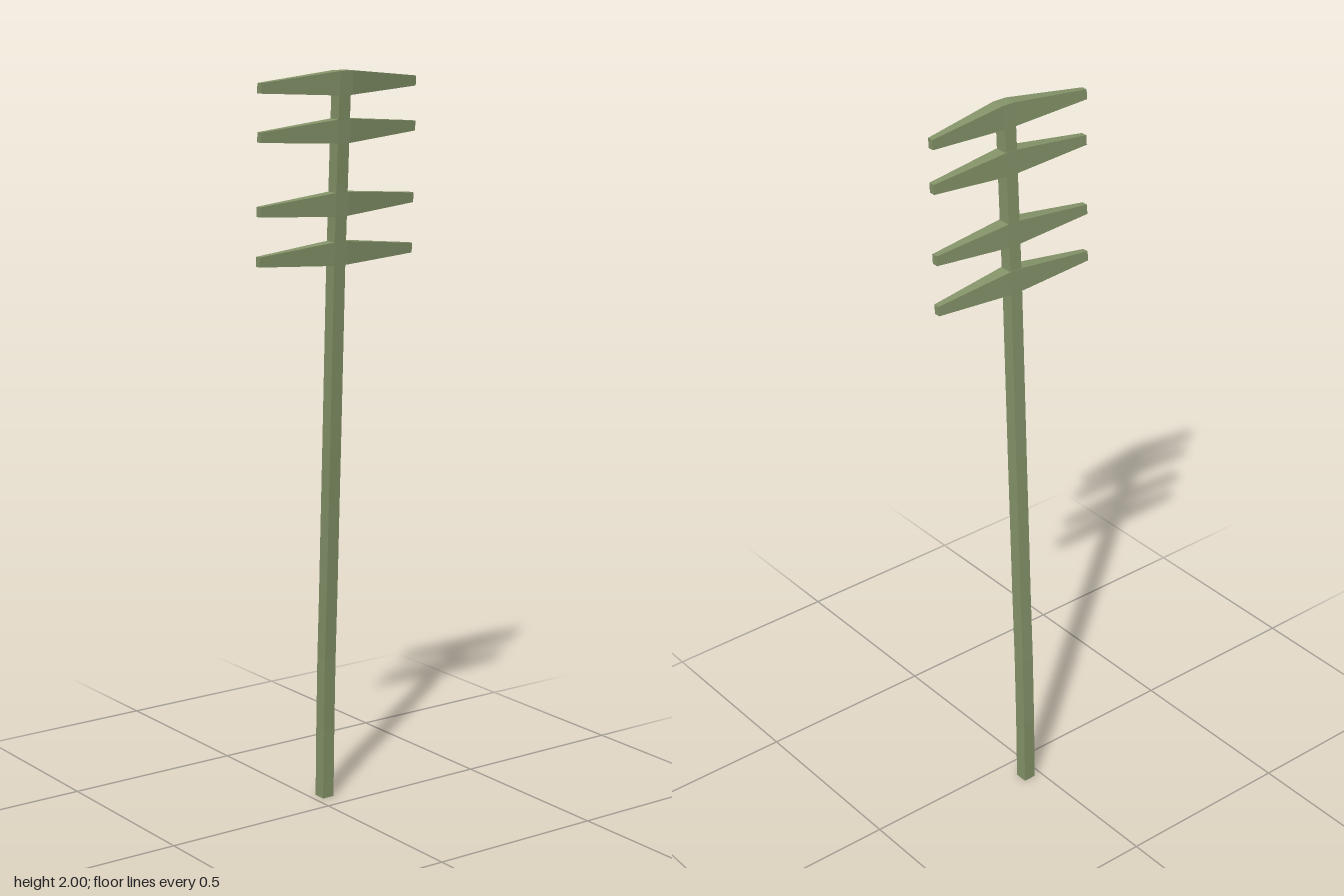
import * as THREE from 'three';

const green = new THREE.MeshStandardMaterial({ color: 0x87966b, flatShading: true });

// Skin a closed solid through four-cornered rings, with capped ends.
function loft(name, rings) {
  const positions = [];
  const quad = (a, b, c, d) => positions.push(...a, ...b, ...c, ...a, ...c, ...d);
  for (let i = 0; i + 1 < rings.length; i++) {
    const r = rings[i], s = rings[i + 1];
    for (let k = 0; k < 4; k++) {
      const n = (k + 1) % 4;
      quad(r[k], r[n], s[n], s[k]);
    }
  }
  const first = rings[0], last = rings[rings.length - 1];
  quad(first[3], first[2], first[1], first[0]);
  quad(...last);
  const geometry = new THREE.BufferGeometry();
  geometry.setAttribute('position', new THREE.Float32BufferAttribute(positions, 3));
  geometry.computeVertexNormals();
  const mesh = new THREE.Mesh(geometry, green);
  mesh.name = name;
  return mesh;
}

// Square post, bent near the foot and leaning forward
function makePost() {
  const path = [
    [0.039, 0, -0.072], [0.038, 0.2, -0.067], [0.034, 0.4, -0.056], [0.028, 0.6, -0.039],
    [0.021, 0.8, -0.022], [0.015, 1, -0.006], [0.002, 1.5, 0.03], [-0.009, 1.99, 0.07],
  ];
  const h = 0.0178;
  return loft('post', path.map(([x, y, z]) => [
    [x - h, y, z + h], [x + h, y, z + h], [x + h, y, z - h], [x - h, y, z - h],
  ]));
}

// Tapered crossarm: a thick middle block narrowing to both tips, leaning with the post
function makeArm({ x, y, z, tipZ, tipY }) {
  const lean = 0.075;
  const ring = (px, py, pz, h, d) => [
    [px, py - h, pz + d - lean * h], [px, py - h, pz - d - lean * h],
    [px, py + h, pz - d + lean * h], [px, py + h, pz + d + lean * h],
  ];
  return loft('crossarm', [
    ring(x - 0.242, y - 0.005, tipZ - 0.0025, 0.013, 0.0085),
    ring(x - 0.02, y, z, 0.031, 0.0185),
    ring(x + 0.02, y, z, 0.031, 0.0185),
    ring(x + 0.242, y + tipY, tipZ + 0.0025, 0.013, 0.0085),
  ]);
}

export function createModel() {
  const model = new THREE.Group();
  model.name = 'utilityPole';
  model.add(makePost());
  const arms = [
    { x: 0.004, y: 1.528, z: 0.032, tipZ: 0.026, tipY: -0.006 },
    { x: 0, y: 1.657, z: 0.043, tipZ: 0.036, tipY: 0 },
    { x: -0.004, y: 1.846, z: 0.058, tipZ: 0.047, tipY: 0 },
    { x: -0.006, y: 1.969, z: 0.0685, tipZ: 0.051, tipY: -0.006 },
  ];
  for (const arm of arms) model.add(makeArm(arm));
  return model;
}
